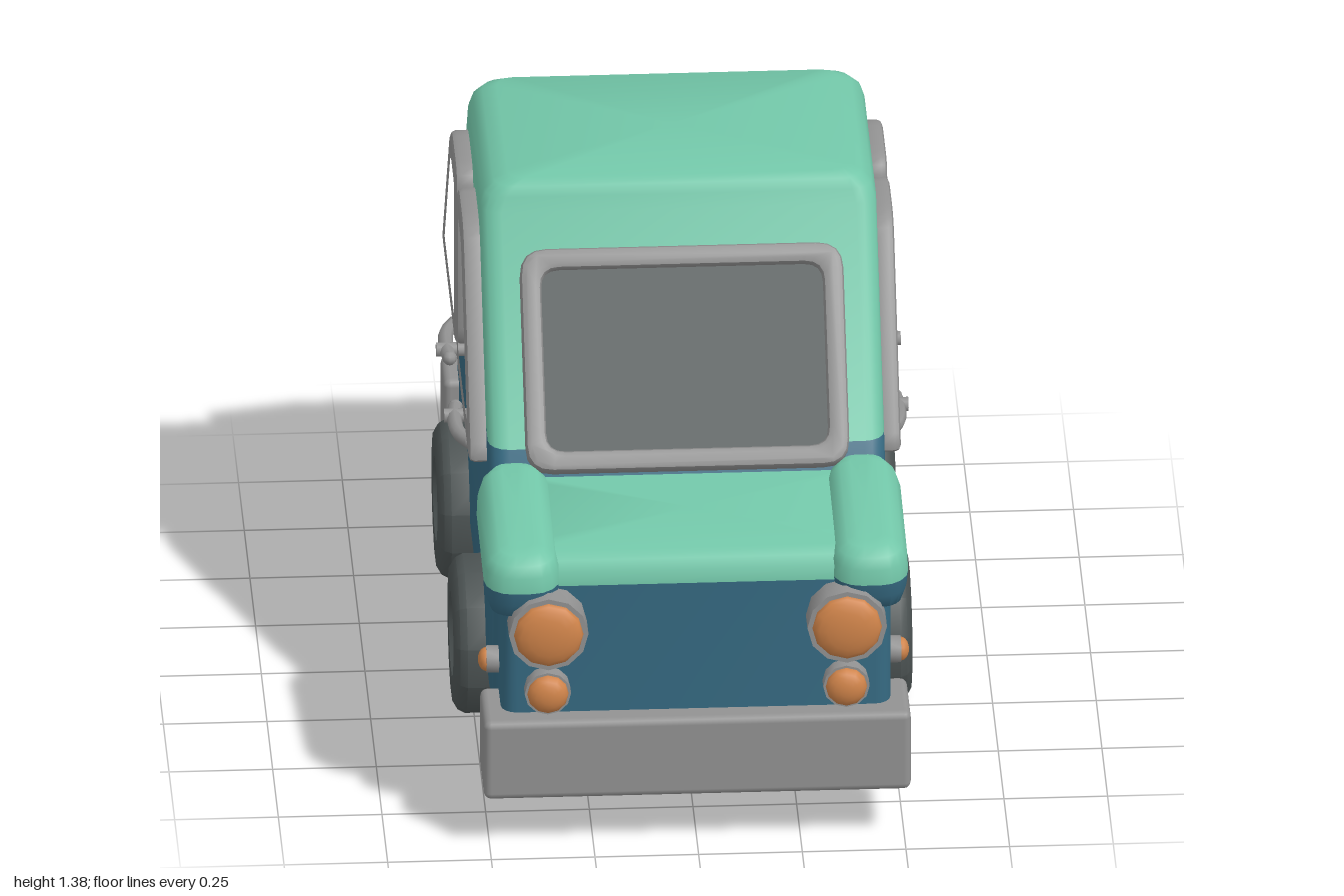
import * as THREE from 'three';
import { toCreasedNormals } from 'three/addons/utils/BufferGeometryUtils.js';
import { RoundedBoxGeometry } from 'three/addons/geometries/RoundedBoxGeometry.js';

const paint = (name, color) => Object.assign(new THREE.MeshStandardMaterial({ color }), { name });

// Skin over horizontal rounded rectangles: rows of [y, zFront, zBack, halfWidth, cornerRadius]
function loft(rows, { bottom = false, top = false, tilt = null } = {}) {
  const seg = 4, ring = 4 * (seg + 1), pos = [], idx = [];
  const add = (x, y, z) => pos.push(x, tilt ? y + tilt(y, z) : y, z);
  for (const [y, zf, zb, w, r] of rows) {
    for (let k = 0; k < 4; k++) for (let j = 0; j <= seg; j++) {
      const a = (k + j / seg) * Math.PI / 2;
      const cx = k === 0 || k === 3 ? w - r : r - w;
      const cz = k < 2 ? zf - r : zb + r;
      add(cx + r * Math.cos(a), y, cz + r * Math.sin(a));
    }
  }
  for (let i = 0; i < rows.length - 1; i++) for (let j = 0; j < ring; j++) {
    const a = i * ring + j, b = i * ring + (j + 1) % ring, c = a + ring, d = b + ring;
    idx.push(a, c, b, b, c, d);
  }
  const cap = (i, up) => {
    const [y, zf, zb] = rows[i], c = pos.length / 3;
    add(0, y, (zf + zb) / 2);
    for (let j = 0; j < ring; j++) {
      const a = i * ring + j, b = i * ring + (j + 1) % ring;
      up ? idx.push(c, b, a) : idx.push(c, a, b);
    }
  };
  if (bottom) cap(0, false);
  if (top) cap(rows.length - 1, true);
  const geo = new THREE.BufferGeometry();
  geo.setAttribute('position', new THREE.Float32BufferAttribute(pos, 3));
  geo.setIndex(idx);
  return toCreasedNormals(geo, 0.75);
}

// Polygon with rounded corners
function roundedPoly(pts, r) {
  const shape = new THREE.Shape();
  pts.forEach((p, i) => {
    const prev = pts.at(i - 1), next = pts[(i + 1) % pts.length];
    const a = p.clone().add(prev.clone().sub(p).setLength(r));
    const b = p.clone().add(next.clone().sub(p).setLength(r));
    i ? shape.lineTo(a.x, a.y) : shape.moveTo(a.x, a.y);
    shape.quadraticCurveTo(p.x, p.y, b.x, b.y);
  });
  shape.closePath();
  return shape;
}

// Polygon moved inwards by d on every edge
function inset(pts, d) {
  const s = Math.sign(THREE.ShapeUtils.area(pts));
  const dir = (a, b) => b.clone().sub(a).normalize();
  return pts.map((p, i) => {
    const u = dir(pts.at(i - 1), p), v = dir(p, pts[(i + 1) % pts.length]);
    const n1 = new THREE.Vector2(-u.y, u.x).multiplyScalar(s);
    const n2 = new THREE.Vector2(-v.y, v.x).multiplyScalar(s);
    const k = d / (1 + n1.dot(n2));
    return p.clone().add(n1.add(n2).multiplyScalar(k));
  });
}

export function createModel() {
  const car = new THREE.Group();
  car.name = 'car';
  const green = paint('mint green', 0x72c6a8);
  const blue = paint('deep blue', 0x366a82);
  const grey = paint('trim grey', 0x929292);
  const dark = paint('dark grey', 0x4c5353);
  const orange = paint('lamp orange', 0xd0844a);

  const mesh = (name, geo, mat, parent = car, x = 0, y = 0, z = 0) => {
    const m = new THREE.Mesh(geo, mat);
    m.name = name;
    m.position.set(x, y, z);
    parent.add(m);
    return m;
  };

  // Cabin, two-tone at the waistline
  mesh('cabinLower', loft([
    [0.20, 0.55, -0.92, 0.455, 0.03], [0.225, 0.57, -0.94, 0.478, 0.05],
    [0.65, 0.57, -0.94, 0.478, 0.05], [0.72, 0.565, -0.918, 0.478, 0.05],
    [0.78, 0.54, -0.873, 0.478, 0.05], [0.85, 0.49, -0.82, 0.478, 0.05],
  ], { bottom: true }), blue);
  mesh('cabinUpper', loft([
    [0.85, 0.49, -0.82, 0.478, 0.05], [1.31, 0.137, -0.475, 0.478, 0.05],
    [1.345, 0.125, -0.463, 0.468, 0.05], [1.368, 0.112, -0.452, 0.445, 0.05],
    [1.38, 0.09, -0.435, 0.41, 0.04],
  ], { top: true }), green);

  // Bonnet
  mesh('noseLower', loft([
    [0.205, 0.88, 0.5, 0.45, 0.03], [0.225, 0.90, 0.5, 0.47, 0.04], [0.69, 0.90, 0.5, 0.47, 0.04],
  ], { bottom: true }), blue);
  const hoodTilt = (y, z) => (0.9 - z) * 0.12 * (y - 0.69) / 0.08;
  mesh('bonnet', loft([
    [0.69, 0.90, 0.5, 0.47, 0.04], [0.725, 0.897, 0.5, 0.465, 0.04],
    [0.747, 0.88, 0.5, 0.45, 0.04], [0.757, 0.85, 0.5, 0.43, 0.03],
  ], { top: true, tilt: hoodTilt }), green);

  // Front wings, rising toward the windscreen
  const wingTilt = (y, z) => (0.72 - z) * 0.12 * (y - 0.61) / 0.2;
  const wingLower = loft([
    [0.607, 0.89, 0.52, 0.05, 0.03], [0.63, 0.93, 0.505, 0.075, 0.05],
    [0.67, 0.945, 0.5, 0.088, 0.065], [0.71, 0.95, 0.5, 0.092, 0.07],
  ], { bottom: true, tilt: wingTilt });
  const wingUpper = loft([
    [0.71, 0.95, 0.5, 0.092, 0.07], [0.755, 0.948, 0.5, 0.09, 0.07],
    [0.785, 0.935, 0.503, 0.078, 0.06], [0.803, 0.91, 0.515, 0.055, 0.04],
    [0.807, 0.88, 0.53, 0.03, 0.02],
  ], { top: true, tilt: wingTilt });
  for (const s of [1, -1]) {
    mesh('wingLower', wingLower, blue, car, s * 0.42);
    mesh('wingUpper', wingUpper, green, car, s * 0.42);
  }

  // Windows: raised trim ring with a thin pane inside, facing local +z
  const windowUnit = (name, pts, x, y, z, rx, ry) => {
    const g = new THREE.Group();
    g.name = name;
    g.position.set(x, y, z);
    g.rotation.set(rx, ry, 0, 'YXZ');
    car.add(g);
    const ring = roundedPoly(pts, 0.065);
    ring.holes.push(roundedPoly(inset(pts, 0.05), 0.045));
    mesh('windowTrim', toCreasedNormals(new THREE.ExtrudeGeometry(ring, {
      depth: 0.03, bevelThickness: 0.014, bevelSize: 0.014, bevelOffset: -0.014,
      bevelSegments: 2, curveSegments: 4,
    }), 0.7), grey, g);
    mesh('windowPane', new THREE.ExtrudeGeometry(roundedPoly(inset(pts, 0.035), 0.045),
      { depth: 0.008, bevelEnabled: false, curveSegments: 4 }), dark, g, 0, 0, 0.008);
  };
  const v2 = (x, y) => new THREE.Vector2(x, y);
  const screen = [v2(-0.39, -0.273), v2(0.39, -0.273), v2(0.39, 0.273), v2(-0.39, 0.273)];
  windowUnit('windscreen', screen, 0, 1.017, 0.362, -0.655, 0);
  windowUnit('rearWindow', screen, 0, 1.017, -0.695, -0.645, Math.PI);
  const frontDoor = [[0.43, 0.765], [-0.155, 0.765], [-0.155, 1.252], [0.08, 1.252]];
  const rearDoor = [[-0.19, 0.765], [-0.80, 0.765], [-0.445, 1.252], [-0.19, 1.252]];
  for (const s of [1, -1]) {
    const flat = (pts) => pts.map(([z, y]) => v2(-s * z, y));
    windowUnit('frontDoorWindow', flat(frontDoor), s * 0.477, 0, 0, 0, s * Math.PI / 2);
    windowUnit('rearDoorWindow', flat(rearDoor), s * 0.477, 0, 0, 0, s * Math.PI / 2);
  }

  // Lamps: grey housing with a domed lens, facing local +z
  const lamp = (name, r, lens, depth, dome, x, y, z, ry = 0) => {
    const g = new THREE.Group();
    g.name = name;
    g.position.set(x, y, z);
    g.rotation.y = ry;
    car.add(g);
    const housing = new THREE.CylinderGeometry(r, r, depth, 12).rotateX(Math.PI / 2);
    mesh('lampHousing', toCreasedNormals(housing, 0.7), grey, g, 0, 0, depth / 2);
    const ball = new THREE.SphereGeometry(lens, 12, 5, 0, Math.PI * 2, 0, Math.PI / 2);
    mesh('lampLens', ball.rotateX(Math.PI / 2).scale(1, 1, dome / lens), orange, g, 0, 0, depth);
  };
  for (const s of [1, -1]) {
    lamp('headlamp', 0.096, 0.084, 0.09, 0.03, s * 0.36, 0.595, 0.88);
    lamp('frontIndicator', 0.056, 0.05, 0.06, 0.03, s * 0.36, 0.417, 0.875);
    lamp('tailLamp', 0.052, 0.045, 0.03, 0.035, s * 0.36, 0.417, -0.93, Math.PI);
    lamp('sideMarker', 0.033, 0.029, 0.04, 0.02, s * 0.46, 0.43, 0.77, s * Math.PI / 2);
  }

  // Bumpers
  mesh('frontBumper', new RoundedBoxGeometry(1.03, 0.21, 0.198, 2, 0.018), grey, car, 0, 0.245, 0.856);
  mesh('rearBumper', new RoundedBoxGeometry(1.03, 0.19, 0.15, 2, 0.018), grey, car, 0, 0.26, -0.901);

  // Wheels with a recessed hub
  const profile = [[0, -0.075], [0.165, -0.075], [0.188, -0.062], [0.197, -0.045], [0.197, 0.045],
    [0.188, 0.062], [0.165, 0.075], [0.105, 0.075], [0.092, 0.055], [0.085, 0.05], [0, 0.05]];
  const wheel = toCreasedNormals(
    new THREE.LatheGeometry(profile.map(([r, h]) => v2(r, h)), 12).rotateY(Math.PI / 12), 0.6);
  for (const s of [1, -1]) for (const z of [0.18, -0.525]) {
    mesh('wheel', wheel, dark, car, s * 0.477, 0.195, z).rotation.z = -s * Math.PI / 2;
  }

  // Door handles: a stem with a curved lever
  const stem = new THREE.CylinderGeometry(0.018, 0.018, 0.1, 8).rotateZ(Math.PI / 2);
  for (const s of [1, -1]) for (const [z, d] of [[0.01, 1], [-0.335, -1]]) {
    mesh('handleStem', toCreasedNormals(stem, 0.9), grey, car, s * 0.51, 0.698, z);
    const path = new THREE.CatmullRomCurve3([[0.53, -0.045], [0.535, 0], [0.53, 0.09], [0.505, 0.14]]
      .map(([x, t]) => new THREE.Vector3(s * x, 0.698, z + d * t)));
    mesh('handleLever', new THREE.TubeGeometry(path, 8, 0.018, 8), grey);
    for (const t of [0, 1]) {
      const p = path.getPoint(t);
      mesh('handleTip', new THREE.SphereGeometry(0.018, 8, 6), grey, car, p.x, p.y, p.z);
    }
  }
  return car;
}
